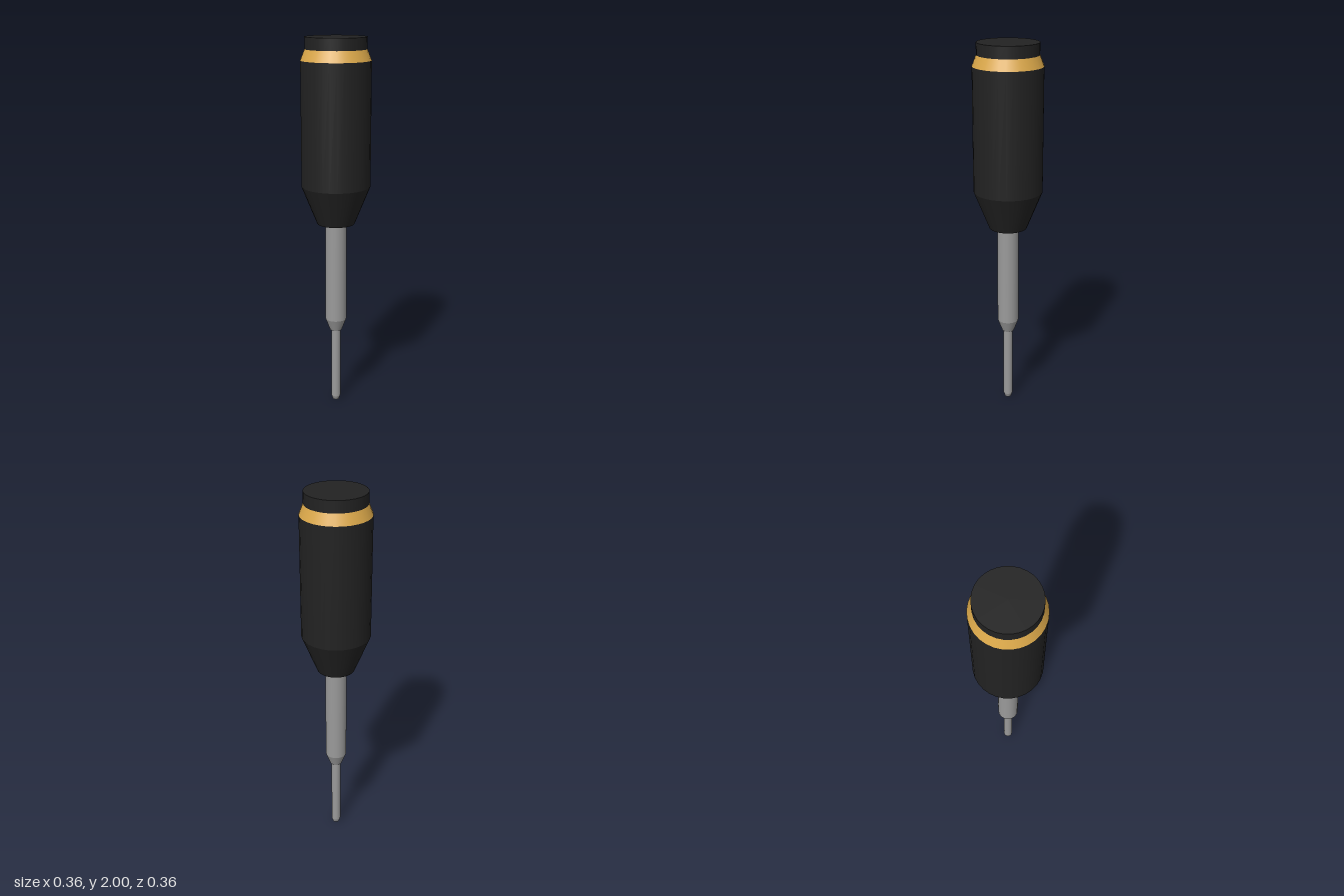
import * as THREE from 'three';

const SIDES = 30;

export function createModel() {
  const model = new THREE.Group();
  model.name = 'screwdriver';

  const mat = (name, color) => {
    const m = new THREE.MeshStandardMaterial({ color });
    m.name = name;
    return m;
  };
  const black = mat('blackGrip', 0x222222);
  const gold = mat('goldBand', 0xdba84a);
  const steel = mat('greySteel', 0x9a9a9a);

  // A round section between two heights, with its own bottom and top radius
  const section = (name, material, y0, r0, y1, r1) => {
    const mesh = new THREE.Mesh(new THREE.CylinderGeometry(r1, r0, y1 - y0, SIDES), material);
    mesh.name = name;
    mesh.position.y = (y0 + y1) / 2;
    model.add(mesh);
  };

  // Blade, from the chamfered tip up to the shaft
  section('tipChamfer', steel, 0, 0.017, 0.022, 0.025);
  section('blade', steel, 0.022, 0.025, 0.42, 0.025);
  section('shaftTaper', steel, 0.42, 0.032, 0.485, 0.057);
  section('shaft', steel, 0.485, 0.057, 1.03, 0.057);

  // Handle with tapered nose, coloured band and end cap
  section('handleNose', black, 1.027, 0.1, 1.23, 0.182);
  section('handleGrip', black, 1.23, 0.182, 1.882, 0.182);
  section('band', gold, 1.882, 0.182, 1.938, 0.16);
  section('endCap', black, 1.938, 0.16, 2, 0.16);

  return model;
}
